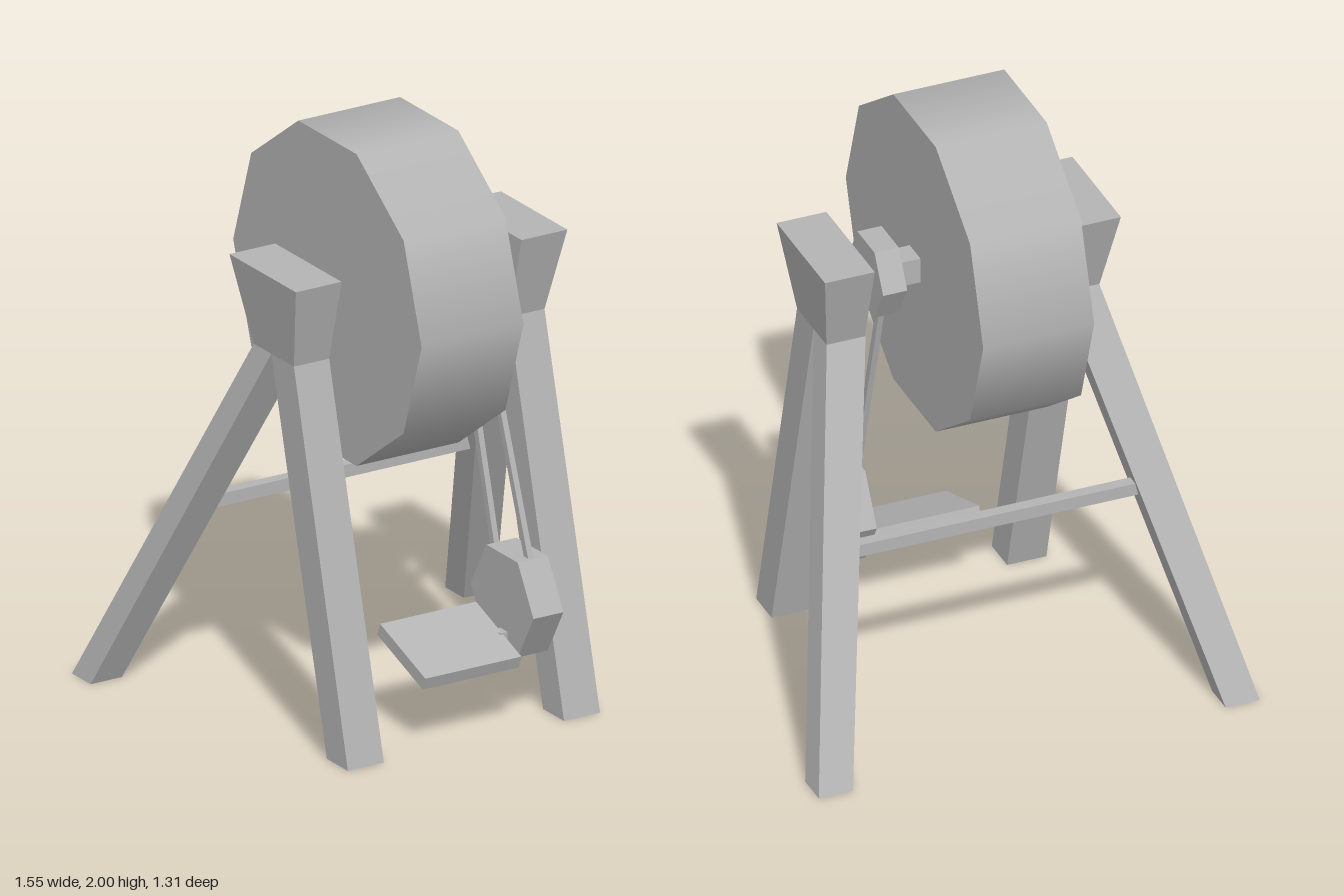
import * as THREE from 'three';

export function createModel() {
  const model = new THREE.Group();
  model.name = 'grindstone';
  const grey = new THREE.MeshStandardMaterial({ color: 0xb4b4b4, side: THREE.DoubleSide });
  grey.name = 'grey';

  const add = (name, geometry, x = 0, y = 0, z = 0) => {
    const mesh = new THREE.Mesh(geometry, grey);
    mesh.name = name;
    mesh.position.set(x, y, z);
    model.add(mesh);
    return mesh;
  };

  // Prism lying along x, with a corner towards the front
  const disc = (radius, width, sides, flat) => {
    const g = new THREE.CylinderGeometry(radius, radius, width, sides).rotateZ(Math.PI / 2);
    if (!flat) return g;
    const f = g.toNonIndexed();
    f.computeVertexNormals();
    return f;
  };

  // Four-sided post between two level rectangles [x0, x1, z0, z1], open below
  const post = (top, yTop, bottom, yBottom, side, capped) => {
    const ring = ([x0, x1, z0, z1], y) => {
      const [a, b] = side > 0 ? [x0, x1] : [-x1, -x0];
      return [[a, y, z1], [b, y, z1], [b, y, z0], [a, y, z0]];
    };
    const t = ring(top, yTop), b = ring(bottom, yBottom), points = [];
    const quad = (p, q, r, s) => points.push(...p, ...q, ...r, ...p, ...r, ...s);
    for (let i = 0; i < 4; i++) {
      const j = (i + 1) % 4;
      quad(b[i], b[j], t[j], t[i]);
    }
    if (capped) quad(t[0], t[1], t[2], t[3]);
    const g = new THREE.BufferGeometry();
    g.setAttribute('position', new THREE.Float32BufferAttribute(points, 3));
    g.computeVertexNormals();
    return g;
  };

  // Square bar between two points
  const bar = (name, from, to, width, depth) => {
    const a = new THREE.Vector3(...from), b = new THREE.Vector3(...to);
    const dir = b.clone().sub(a);
    const mesh = add(name, new THREE.BoxGeometry(width, dir.length(), depth));
    mesh.position.copy(a).add(b).multiplyScalar(0.5);
    mesh.quaternion.setFromUnitVectors(new THREE.Vector3(0, 1, 0), dir.normalize());
  };

  // Side frames: flared head with a front and a splayed rear leg
  for (const side of [1, -1]) {
    const s = side > 0 ? 'left' : 'right';
    add(s + 'Head', post([0.345, 0.52, -0.105, 0.297], 1.587, [0.345, 0.48, -0.022, 0.222], 1.295, side, true));
    add(s + 'FrontLeg', post([0.345, 0.48, 0.085, 0.222], 1.295, [0.345, 0.483, 0.426, 0.553], 0, side));
    add(s + 'RearLeg', post([0.342, 0.479, -0.022, 0.085], 1.295, [0.655, 0.775, -0.655, -0.542], 0, side));
  }

  // Stone wheel on its axle, with the crank hub
  add('wheel', disc(0.57, 0.39, 10, false), -0.07, 1.46, 0.085);
  add('axle', new THREE.BoxGeometry(0.72, 0.09, 0.09), 0, 1.46, 0.08);
  add('crankHub', disc(0.143, 0.085, 6, true), 0.255, 1.46, 0.081);

  // Rods down to the lower hub
  add('lowerHub', disc(0.19, 0.115, 6, true), 0.262, 0.396, 0.4);
  bar('frontRod', [0.262, 0.54, 0.477], [0.25, 1.42, 0.178], 0.02, 0.025);
  bar('rearRod', [0.262, 0.45, 0.29], [0.25, 1.37, 0.06], 0.02, 0.025);

  // Tilted pedal and the short pins beside the lower hub
  add('pedal', new THREE.BoxGeometry(0.368, 0.046, 0.292), 0.003, 0.283, 0.4).rotation.x = 0.35;
  add('pedalPin', new THREE.BoxGeometry(0.05, 0.04, 0.045), 0.2, 0.28, 0.412);
  add('hubPin', new THREE.BoxGeometry(0.05, 0.05, 0.05), 0.335, 0.395, 0.37);

  // Rear crosspiece
  add('crosspiece', new THREE.BoxGeometry(1.0, 0.044, 0.042), 0, 0.668, -0.278);

  return model;
}
